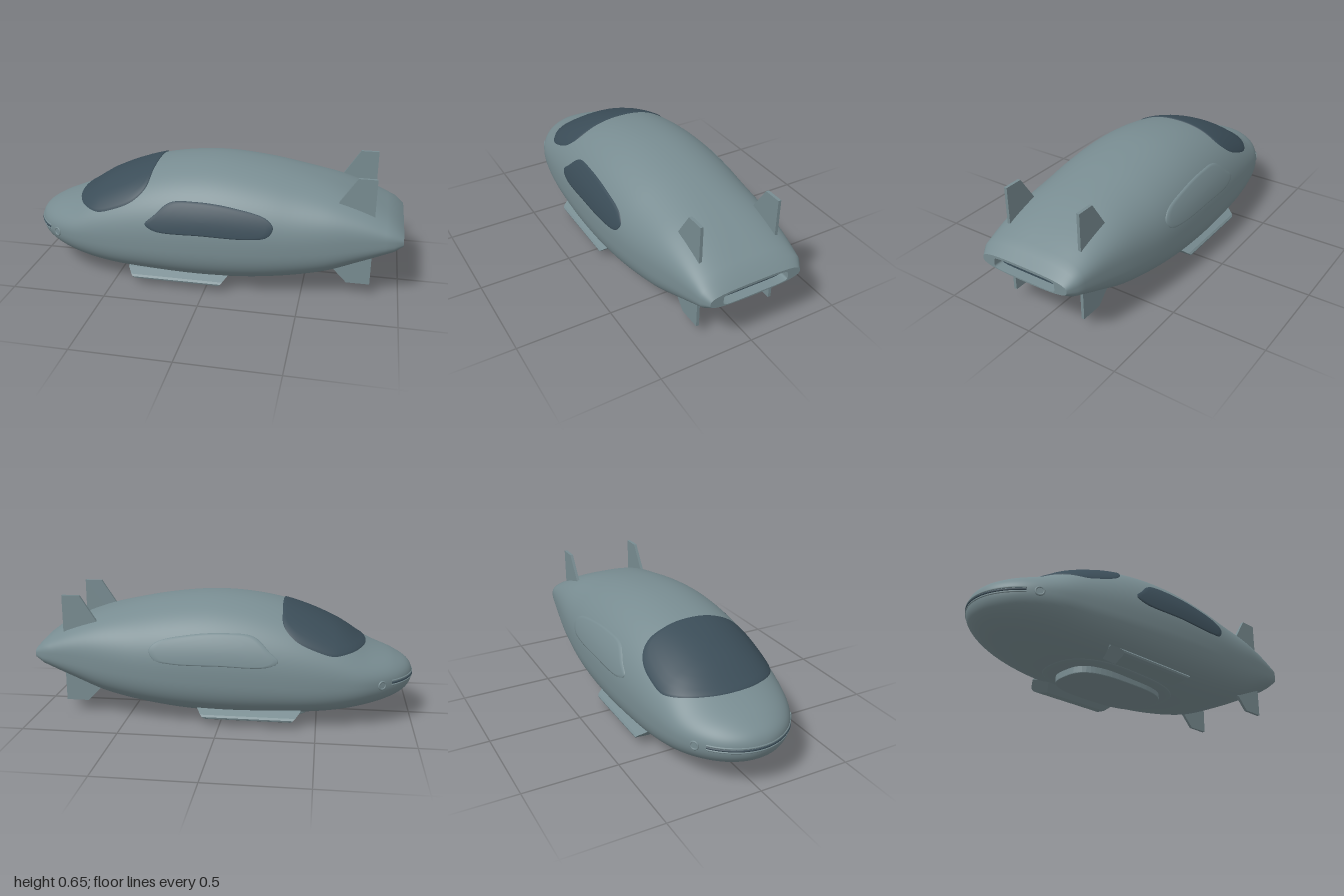
import * as THREE from 'three';

const hullMat = new THREE.MeshStandardMaterial({ color: 0x788c91 });
hullMat.name = 'greyHull';
const glassMat = new THREE.MeshStandardMaterial({ color: 0x3b4d58 });
glassMat.name = 'darkGlass';

// Hull stations: x, top, bottom, half width, height of widest line
const STATIONS = [
  [-1, 0.24, 0.24, 0, 0.24], [-0.98, 0.295, 0.178, 0.1, 0.24], [-0.9, 0.345, 0.125, 0.215, 0.24],
  [-0.75, 0.405, 0.08, 0.308, 0.245], [-0.58, 0.51, 0.05, 0.348, 0.25], [-0.31, 0.61, 0.033, 0.378, 0.265],
  [0, 0.65, 0.025, 0.39, 0.28], [0.3, 0.628, 0.045, 0.38, 0.29], [0.6, 0.565, 0.1, 0.345, 0.305],
  [0.8, 0.495, 0.18, 0.31, 0.32], [0.95, 0.42, 0.25, 0.28, 0.33], [0.985, 0.395, 0.275, 0.27, 0.33],
  [1, 0.37, 0.29, 0.25, 0.33],
];
// Spacing by square root keeps the nose round
const KEYS = STATIONS.map((s) => Math.sqrt(s[0] + 1));

function slope(i, k) {
  const a = Math.max(i - 1, 0), b = Math.min(i + 1, KEYS.length - 1);
  return (STATIONS[b][k] - STATIONS[a][k]) / (KEYS[b] - KEYS[a]);
}

function section(x) {
  const s = Math.sqrt(Math.max(x + 1, 0));
  let i = 0;
  while (i < KEYS.length - 2 && s > KEYS[i + 1]) i++;
  const h = KEYS[i + 1] - KEYS[i], t = Math.min((s - KEYS[i]) / h, 1);
  const [top, bottom, w, mid] = [1, 2, 3, 4].map((k) => {
    const p = STATIONS[i][k], q = STATIONS[i + 1][k];
    return p * (2 * t ** 3 - 3 * t * t + 1) + q * (3 * t * t - 2 * t ** 3)
      + h * (slope(i, k) * (t ** 3 - 2 * t * t + t) + slope(i + 1, k) * (t ** 3 - t * t));
  });
  const nTop = 2.2 + THREE.MathUtils.smoothstep(x, 0.4, 1) * 0.9;
  const nLow = 2.2 + THREE.MathUtils.smoothstep(x, -1, -0.4) * 0.6;
  return { top, bottom, w, mid, nTop, nLow };
}

const SIDES = 96;
function ring(x, { top, bottom, w, mid, nTop, nLow }) {
  return Array.from({ length: SIDES }, (_, j) => {
    const a = (j / SIDES) * Math.PI * 2, c = Math.cos(a), s = Math.sin(a);
    const e = 2 / (s >= 0 ? nTop : nLow), r = s >= 0 ? top - mid : bottom - mid;
    return new THREE.Vector3(x, mid + r * Math.abs(s) ** e, Math.sign(c) * w * Math.abs(c) ** e);
  });
}

// Skin over a list of closed rings
function loft(rings) {
  const n = rings[0].length, index = [];
  for (let i = 0; i < rings.length - 1; i++) {
    for (let j = 0; j < n; j++) {
      const a = i * n + j, b = i * n + ((j + 1) % n);
      index.push(a, a + n, b, b, a + n, b + n);
    }
  }
  const g = new THREE.BufferGeometry().setFromPoints(rings.flat());
  g.setIndex(index);
  g.computeVertexNormals();
  return g;
}

// Points on the hull, raised by pad
const arc = (v, r, n) => Math.max(1 - Math.min(Math.abs(v) / r, 1) ** n, 0) ** (1 / n);
const onTop = (x, z, pad) => {
  const s = section(x);
  return new THREE.Vector3(x, s.mid + (s.top - s.mid + pad) * arc(z, s.w + pad, s.nTop), z);
};
const onBelly = (x, z, pad) => {
  const s = section(x);
  return new THREE.Vector3(x, s.mid - (s.mid - s.bottom + pad) * arc(z, s.w + pad, s.nLow), z);
};
const onSide = (sign) => (x, y, pad) => {
  const s = section(x);
  return new THREE.Vector3(x, y, sign * (s.w + pad) * arc(y - s.mid, s.top - s.mid + pad, s.nTop));
};

// Thin plate that follows the hull inside a smooth outline
function patch(outline, centre, project, pad, reverse) {
  const curve = new THREE.CatmullRomCurve3(outline.map(([u, v]) => new THREE.Vector3(u, v, 0)), true, 'centripetal');
  const pts = curve.getPoints(120).slice(0, -1);
  if (reverse) pts.reverse();
  const scales = [0.002, 0.12, 0.25, 0.4, 0.55, 0.7, 0.8, 0.9, 0.985, 1];
  return loft(scales.map((r) => pts.map((p) => project(
    centre[0] + (p.x - centre[0]) * r, centre[1] + (p.y - centre[1]) * r, r === 1 ? 0 : pad))));
}

function extrude(points, depth, bevel = 0) {
  const shape = new THREE.Shape(points.map(([u, v]) => new THREE.Vector2(u, v)));
  return new THREE.ExtrudeGeometry(shape, {
    depth, bevelEnabled: bevel > 0, bevelSize: bevel, bevelThickness: bevel, bevelSegments: 2,
  });
}

export function createModel() {
  const model = new THREE.Group();
  const add = (name, geometry, material = hullMat) => {
    const mesh = new THREE.Mesh(geometry, material);
    mesh.name = name;
    model.add(mesh);
    return mesh;
  };

  // Hull
  const xs = Array.from({ length: 91 }, (_, i) => ((i / 90) * Math.SQRT2) ** 2 - 1);
  add('hull', loft(xs.map((x) => ring(x, section(x)))));

  // Tail slot
  const slot = { top: 0.357, bottom: 0.297, w: 0.18, mid: 0.327, nTop: 6, nLow: 6 };
  add('tailRim', loft([ring(1, section(1)), ring(1, slot)]));
  add('tailSlotWall', loft([ring(1, slot), ring(0.95, slot)]));
  add('tailSlotBack', loft([ring(0.95, slot), ring(0.95, { ...slot, top: 0.327, bottom: 0.327, w: 0.001 })]), glassMat);

  // Windscreen
  const half = [[-0.735, 0.12], [-0.68, 0.235], [-0.6, 0.298], [-0.5, 0.314], [-0.38, 0.303], [-0.325, 0.26], [-0.312, 0.15]];
  const screen = [[-0.75, 0], ...half, [-0.308, 0], ...half.map(([x, z]) => [x, -z]).reverse()];
  add('windscreen', patch(screen, [-0.5, 0], onTop, 0.005, false), glassMat);

  // Side window on one flank, plain panel on the other
  const pane = [[-0.305, 0.37], [-0.26, 0.417], [-0.18, 0.485], [-0.04, 0.5], [0.14, 0.488], [0.32, 0.446],
    [0.357, 0.405], [0.33, 0.358], [0.25, 0.342], [0, 0.341], [-0.26, 0.342]];
  add('sideWindow', patch(pane, [0, 0.41], onSide(1), 0.005, true), glassMat);
  add('sidePanel', patch(pane, [0, 0.41], onSide(-1), 0.006, false));

  // Nose slit between two lips
  const slit = (y) => new THREE.CatmullRomCurve3(Array.from({ length: 17 }, (_, i) => {
    const k = (i - 8) / 8, x = 0.12 * k * k - 1;
    return new THREE.Vector3(x + 0.002, y, Math.sign(k) * section(x).w);
  }));
  for (const y of [0.229, 0.251]) add('noseLip', new THREE.TubeGeometry(slit(y), 48, 0.005, 8));
  add('noseSlit', new THREE.TubeGeometry(slit(0.24), 48, 0.006, 8), glassMat);

  // Round nose ports
  for (const side of [1, -1]) {
    const x = -0.83, w = section(x).w, dw = (section(x + 0.01).w - section(x - 0.01).w) / 0.02;
    const port = new THREE.Group();
    port.name = 'nosePort';
    const rim = new THREE.Mesh(new THREE.TorusGeometry(0.02, 0.005, 10, 28), hullMat);
    rim.name = 'portRim';
    const lens = new THREE.Mesh(new THREE.CircleGeometry(0.018, 28), hullMat);
    lens.name = 'portFace';
    lens.position.z = 0.002;
    port.add(rim, lens);
    port.position.set(x, 0.235, side * w);
    port.rotation.y = Math.atan2(-dw, side);
    model.add(port);
  }

  // Tail fins
  const upper = [[0.66, 0.4], [0.85, 0.4], [0.85, 0.647], [0.755, 0.647], [0.66, 0.5]];
  const lower = [[0.66, 0.27], [0.66, 0.14], [0.73, 0.068], [0.85, 0.068], [0.85, 0.27]];
  for (const z of [0.212, -0.212]) {
    add('upperFin', extrude(upper, 0.016).translate(0, 0, z - 0.008));
    add('lowerFin', extrude(lower, 0.016).translate(0, 0, z - 0.008));
  }

  // Belly hatch and its collar
  const oval = (a, b, n) => Array.from({ length: 48 }, (_, i) => {
    const t = (i / 48) * Math.PI * 2, c = Math.cos(t), s = Math.sin(t);
    return [Math.sign(c) * a * Math.abs(c) ** (2 / n), Math.sign(s) * b * Math.abs(s) ** (2 / n)];
  });
  add('bellyHatch', extrude(oval(0.296, 0.158, 3), 0.06, 0.004).rotateX(Math.PI / 2).translate(-0.155, 0.064, 0));
  const collar = oval(0.38, 0.215, 2.6).map(([x, z]) => [x - 0.155, z]);
  add('bellyCollar', patch(collar, [-0.155, 0], onBelly, 0.004, false));

  // Side skids, shorter along their lower edge
  const skid = [[0.2, 0.06], [0.262, 0.019], [0.335, 0.036], [0.35, 0.043], [0.353, 0.052], [0.345, 0.062], [0.305, 0.085], [0.25, 0.11]];
  for (const side of [1, -1]) {
    const g = extrude(skid, 0.54).rotateY(-Math.PI / 2).translate(0.27, 0, 0);
    const p = g.attributes.position;
    for (let i = 0; i < p.count; i++) {
      const drop = THREE.MathUtils.clamp((0.085 - p.getY(i)) / 0.066, 0, 1);
      p.setX(i, p.getX(i) * (1 - 0.25 * drop) - 0.15);
    }
    g.computeVertexNormals();
    add('skid', g).scale.z = side;
  }
  return model;
}
